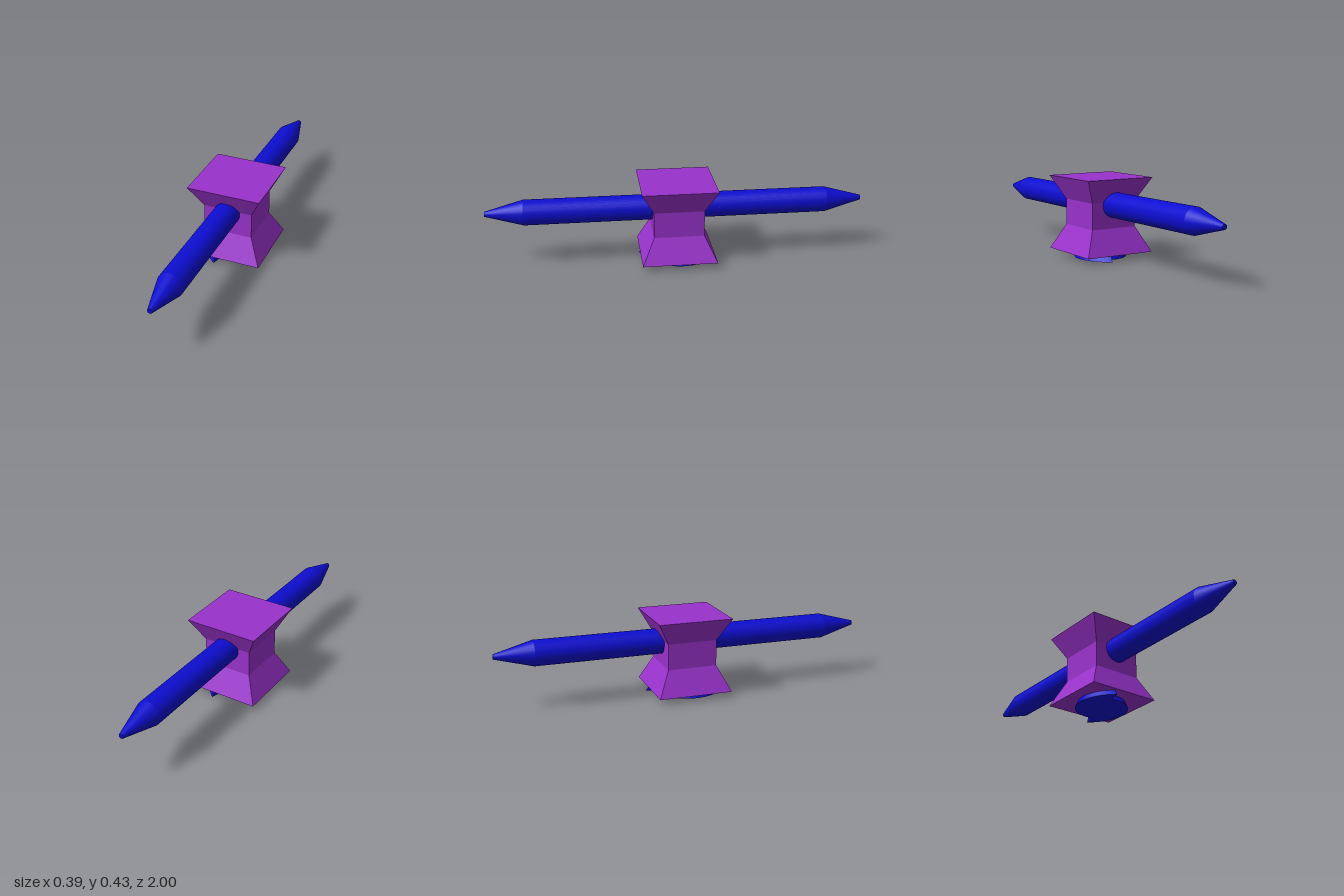
import * as THREE from 'three';
import { toCreasedNormals } from 'three/addons/utils/BufferGeometryUtils.js';

const v2 = (x, y) => new THREE.Vector2(x, y);

export function createModel() {
  const model = new THREE.Group();
  model.name = 'model';
  const purple = new THREE.MeshStandardMaterial({ color: 0x9932cc, flatShading: true });
  const blue = new THREE.MeshStandardMaterial({ color: 0x0d0dd1 });

  const add = (name, geometry, material) => {
    const mesh = new THREE.Mesh(geometry, material);
    mesh.name = name;
    model.add(mesh);
  };

  // Square body with a waist, flaring to the top and bottom
  const bodyProfile = [[0, 0.032], [0.197, 0.032], [0.132, 0.165], [0.132, 0.303], [0.197, 0.427], [0, 0.427]]
    .map(([half, y]) => v2(half * Math.SQRT2, y));
  add('body', new THREE.LatheGeometry(bodyProfile, 4, Math.PI / 4), purple);

  // Long rod through the body, tapered to a blunt tip at each end
  const rodProfile = [[0, -1], [0.013, -1], [0.067, -0.8], [0.067, 0.8], [0.013, 1], [0, 1]]
    .map(([r, y]) => v2(r, y));
  const rod = new THREE.LatheGeometry(rodProfile, 48).rotateX(Math.PI / 2).translate(0, 0.288, 0);
  add('rod', toCreasedNormals(rod, 0.2), blue);

  // Base disc: two spiral arcs, each starting with a radial step
  const steps = 32;
  const start = THREE.MathUtils.degToRad(105);
  const outline = [];
  for (let arc = 0; arc < 2; arc++) {
    for (let i = 0; i <= steps; i++) {
      const t = i / steps;
      const a = start + (arc + t) * Math.PI;
      const r = 0.137 + 0.071 * (1 - t) ** 4;
      outline.push(v2(r * Math.cos(a), -r * Math.sin(a)));
    }
  }
  const base = new THREE.ExtrudeGeometry(new THREE.Shape(outline), { depth: 0.045, bevelEnabled: false });
  base.rotateX(-Math.PI / 2);

  // The disc narrows upwards
  const pos = base.attributes.position;
  for (let i = 0; i < pos.count; i++) {
    const k = 1 - 3.3 * pos.getY(i);
    pos.setXYZ(i, pos.getX(i) * k, pos.getY(i), pos.getZ(i) * k);
  }
  add('baseDisc', toCreasedNormals(base, 0.4), blue);

  return model;
}
